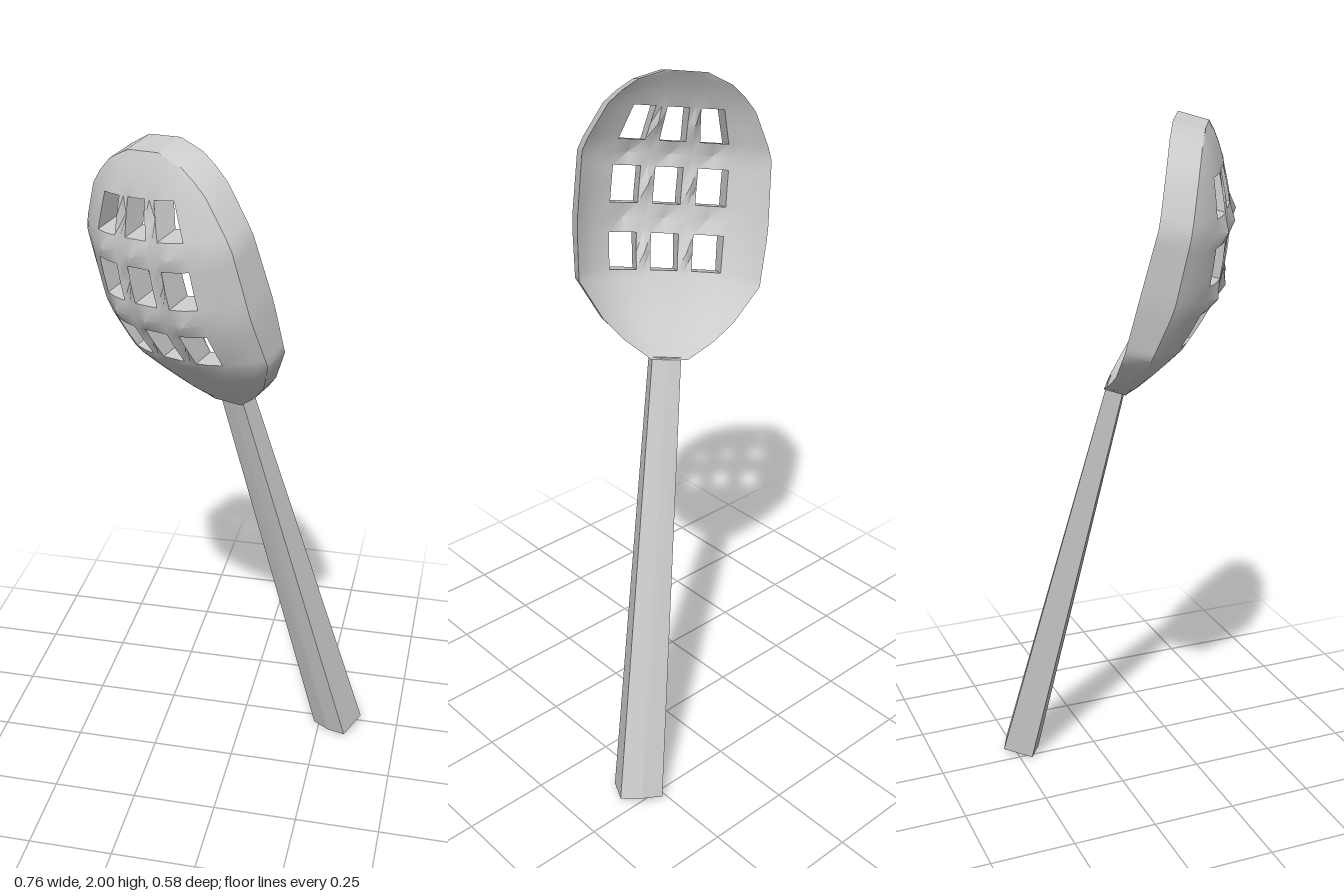
import * as THREE from 'three';
import { ConvexGeometry } from 'three/addons/geometries/ConvexGeometry.js';
import { toCreasedNormals } from 'three/addons/utils/BufferGeometryUtils.js';

const material = new THREE.MeshStandardMaterial({ color: 0xcccccc });

// Piecewise-linear curve through [position, value] pairs
function lerpTable(table, t) {
  for (let k = 1; k < table.length; k++) {
    const [a, fa] = table[k - 1], [b, fb] = table[k];
    if (t <= b) return THREE.MathUtils.lerp(fa, fb, (t - a) / (b - a));
  }
  return table[table.length - 1][1];
}

const LENGTH = 0.757;
// Along the bowl from neck to tip: half width, inner rim height, outer rim height
const halfWidth = [[0, 0.05], [0.05, 0.125], [0.1, 0.18], [0.2, 0.25], [0.35, 0.262], [0.55, 0.257], [0.68, 0.19], [0.73, 0.125], [LENGTH, 0.055]];
const innerRim = [[0, -0.042], [0.1, -0.012], [0.2, -0.002], [0.55, 0], [0.68, -0.024], [LENGTH, -0.045]];
const outerRim = [[0, 0.02], [0.1, 0.04], [0.2, 0.068], [0.35, 0.09], [0.55, 0.082], [0.68, 0.058], [LENGTH, 0.038]];

// Grid lines; the openings sit between the marked lines
const half = [0.15, 0.23, 0.31, 0.46, 0.62, 0.8, 0.92, 1];
const cols = [...half.map((s) => -s).reverse(), 0, ...half];
const rows = [0, 0.05, 0.1, 0.15, 0.2, 0.225, 0.275, 0.325, 0.365, 0.405, 0.455, 0.505, 0.54, 0.575, 0.62, 0.665, 0.7, 0.73, LENGTH];
const inSpan = (x, spans) => spans.some(([a, b]) => x > a && x < b);
const holeCols = [[-0.62, -0.31], [-0.15, 0.15], [0.31, 0.62]];
const holeRows = [[0.225, 0.325], [0.405, 0.505], [0.575, 0.665]];

// Slotted bowl: a thick domed shell with a 3 x 3 lattice of openings
function bowlGeometry() {
  const positions = [];
  const point = (i, j, outer) => {
    const s = cols[i], v = rows[j];
    const dome = (1 - Math.abs(s) ** 3) * Math.sin(Math.PI * v / LENGTH) ** 0.8;
    let n = outer ? lerpTable(outerRim, v) + 0.092 * dome
                  : lerpTable(innerRim, v) + 0.112 * dome;
    // crossing bars weave over and under one another
    const barCol = Math.abs(s) === 0.23, midCol = s === 0 || Math.abs(s) === 0.46;
    const barRow = v === 0.365 || v === 0.54, midRow = v === 0.275 || v === 0.455 || v === 0.62;
    if (barCol && midRow) n -= 0.018;
    if (barRow && midCol) n += 0.015;
    return [s * lerpTable(halfWidth, v), v, n];
  };
  const quad = (a, b, c, d) => positions.push(...a, ...b, ...c, ...a, ...c, ...d);
  const solid = (i, j) => {
    if (i < 0 || j < 0 || i >= cols.length - 1 || j >= rows.length - 1) return false;
    return !(inSpan((cols[i] + cols[i + 1]) / 2, holeCols) && inSpan((rows[j] + rows[j + 1]) / 2, holeRows));
  };
  for (let i = 0; i < cols.length - 1; i++) {
    for (let j = 0; j < rows.length - 1; j++) {
      if (!solid(i, j)) continue;
      const corners = [[i, j], [i + 1, j], [i + 1, j + 1], [i, j + 1]];
      const front = corners.map(([a, b]) => point(a, b, true));
      const back = corners.map(([a, b]) => point(a, b, false));
      quad(...front);
      quad(...[...back].reverse());
      // walls along the rim and the openings
      [[0, -1], [1, 0], [0, 1], [-1, 0]].forEach(([di, dj], k) => {
        const m = (k + 1) % 4;
        if (!solid(i + di, j + dj)) quad(front[k], back[k], back[m], front[m]);
      });
    }
  }
  const geometry = new THREE.BufferGeometry();
  geometry.setAttribute('position', new THREE.Float32BufferAttribute(positions, 3));
  return toCreasedNormals(geometry, 0.75);
}

// Tapering handle, its back and front faces slightly ridged
function handleGeometry() {
  const section = (y, w, back, front, ridge) => [
    [-w, back], [0, back - ridge], [w, back], [w, front], [0, front + ridge], [-w, front],
  ].map(([x, z]) => new THREE.Vector3(x, y, z));
  return new ConvexGeometry([
    ...section(-1.295, 0.062, -0.058, 0.035, 0.007),
    ...section(0.006, 0.04, -0.038, 0.01, 0.002),
  ]);
}

export function createModel() {
  const spoon = new THREE.Group();
  spoon.name = 'slottedSpoon';

  const bowl = new THREE.Mesh(bowlGeometry(), material);
  bowl.name = 'bowl';
  bowl.position.x = -0.007;

  const handle = new THREE.Mesh(handleGeometry(), material);
  handle.name = 'handle';
  spoon.add(bowl, handle);

  // Lean the whole spoon: long axis up and to one side, bowl turned
  const along = new THREE.Vector3(-0.226, 0.96, 0.164).normalize();
  const facing = new THREE.Vector3().crossVectors(new THREE.Vector3(0.855, 0.114, 0.507), along).normalize();
  const across = new THREE.Vector3().crossVectors(along, facing);
  spoon.quaternion.setFromRotationMatrix(new THREE.Matrix4().makeBasis(across, along, facing));
  spoon.position.set(0.01, 1.258, 0);

  const model = new THREE.Group();
  model.name = 'model';
  model.add(spoon);
  return model;
}
